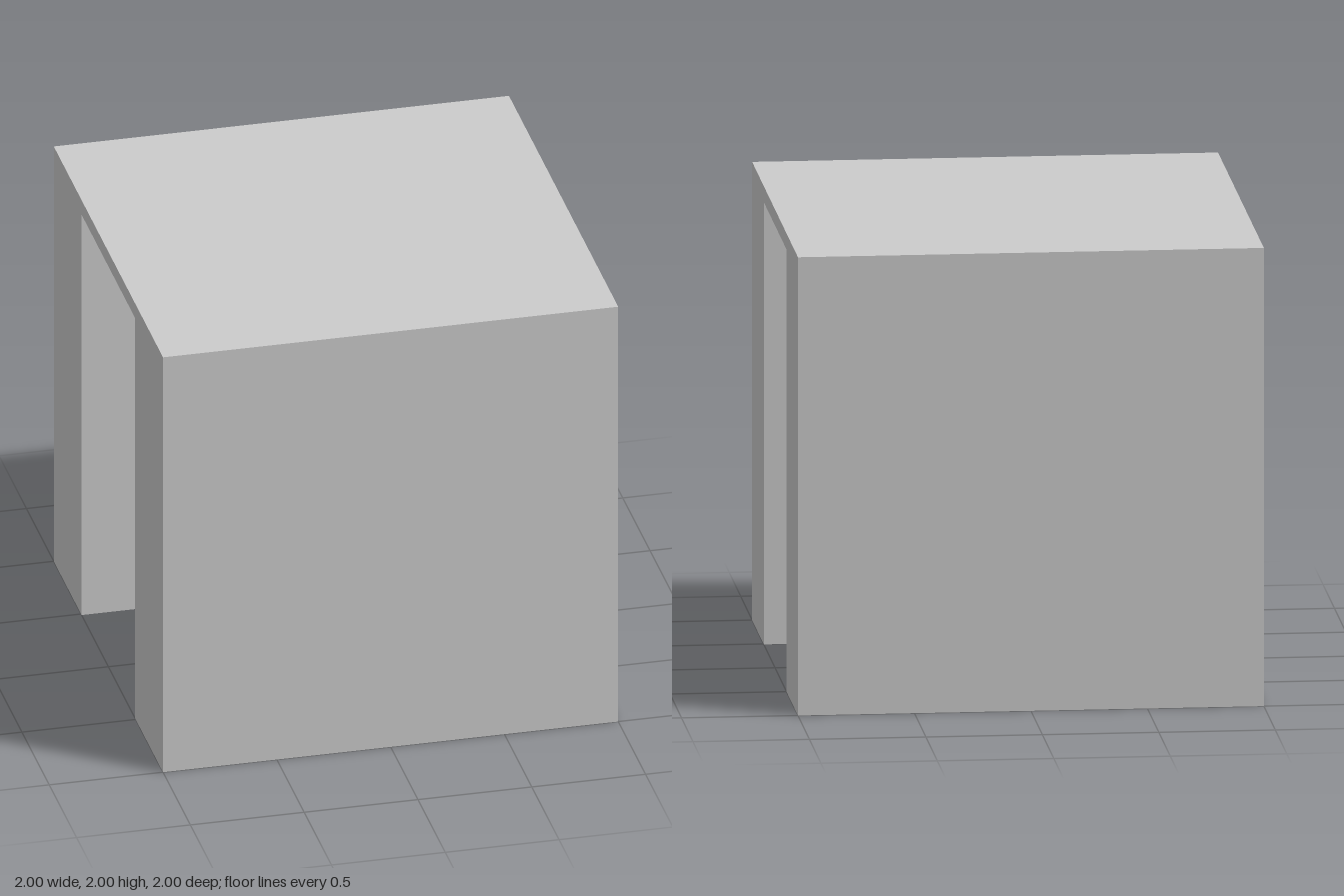
import * as THREE from 'three';

export function createModel() {
  const group = new THREE.Group();
  group.name = 'archBlock';

  const half = 1;         // half of the outer width and depth
  const height = 2;
  const opening = 0.49;   // half width of the passage
  const ceiling = 1.93;   // underside of the thin top slab

  // Side profile: two thick walls joined by a thin slab
  const profile = new THREE.Shape([
    [-half, 0], [-opening, 0], [-opening, ceiling], [opening, ceiling],
    [opening, 0], [half, 0], [half, height], [-half, height],
  ].map(([z, y]) => new THREE.Vector2(z, y)));

  // Run the profile along x
  const geometry = new THREE.ExtrudeGeometry(profile, { depth: 2 * half, bevelEnabled: false });
  geometry.translate(0, 0, -half);
  geometry.rotateY(Math.PI / 2);

  const block = new THREE.Mesh(geometry, new THREE.MeshStandardMaterial({ color: 0xcccccc }));
  block.name = 'wallsAndTopSlab';
  group.add(block);
  return group;
}
